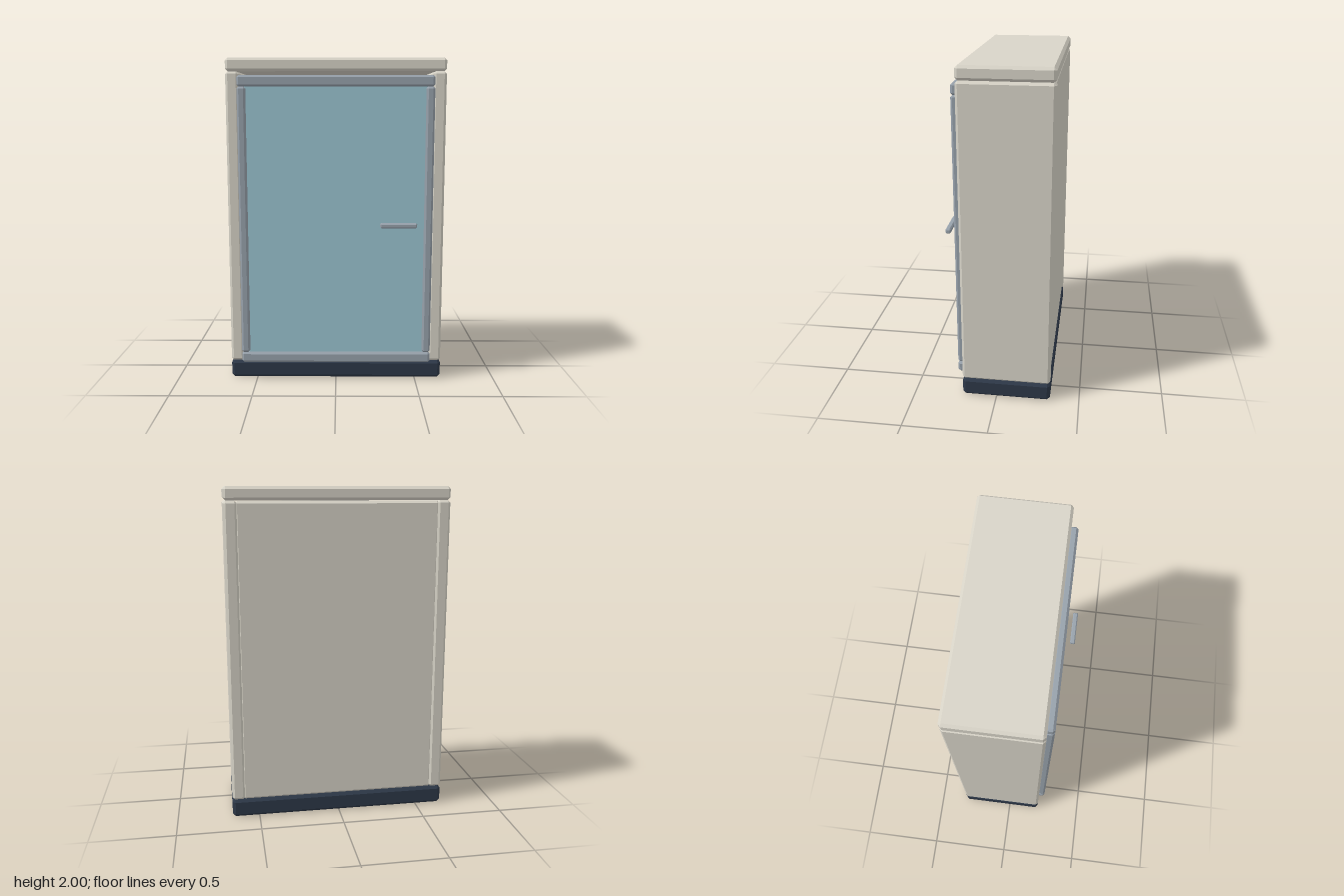
import * as THREE from 'three';
import { ConvexGeometry } from 'three/addons/geometries/ConvexGeometry.js';

const material = (color) => new THREE.MeshStandardMaterial({ color });

// Box with flat chamfered edges, given by its min and max on each axis
function chamferBox(name, [x0, x1], [y0, y1], [z0, z1], c, mat) {
  const half = [(x1 - x0) / 2, (y1 - y0) / 2, (z1 - z0) / 2];
  const points = [];
  for (let axis = 0; axis < 3; axis++) {
    for (const sx of [-1, 1]) for (const sy of [-1, 1]) for (const sz of [-1, 1]) {
      const p = [sx, sy, sz].map((s, i) => s * (half[i] - (i === axis ? 0 : c)));
      points.push(new THREE.Vector3(...p));
    }
  }
  const mesh = new THREE.Mesh(new ConvexGeometry(points), mat);
  mesh.name = name;
  mesh.position.set((x0 + x1) / 2, (y0 + y1) / 2, (z0 + z1) / 2);
  return mesh;
}

export function createModel() {
  const group = new THREE.Group();
  group.name = 'cabinet';
  const shell = material(0xd8d4c8);
  const metal = material(0x98a2ac);
  const dark = material(0x2d3848);
  const pane = material(0x9cc6d2);
  const depth = [-0.325, 0.207];

  // Carcass: plinth, lid, back and two sides
  group.add(
    chamferBox('plinth', [-0.665, 0.665], [0, 0.113], depth, 0.018, dark),
    chamferBox('lid', [-0.665, 0.665], [1.92, 2], depth, 0.016, shell),
    chamferBox('backPanel', [-0.6, 0.6], [0.11, 1.918], [-0.317, -0.26], 0.015, shell),
  );
  for (const [side, s] of [['left', 1], ['right', -1]]) {
    const span = (a, b) => (s > 0 ? [a, b] : [-b, -a]);
    group.add(chamferBox(side + 'Side', span(0.585, 0.665), [0.113, 1.92], depth, 0.015, shell));
  }

  // Door: rails, stiles, pane and handle
  const door = new THREE.Group();
  door.name = 'door';
  const doorDepth = [0.197, 0.247];
  for (const [name, y] of [['bottomRail', 0.113], ['topRail', 1.828]]) {
    door.add(chamferBox(name, [-0.592, 0.592], [y, y + 0.068], doorDepth, 0.013, metal));
  }
  for (const [name, x] of [['rightStile', -0.592], ['leftStile', 0.54]]) {
    door.add(chamferBox(name, [x, x + 0.052], [0.18, 1.83], doorDepth, 0.012, metal));
  }
  door.add(
    chamferBox('pane', [-0.547, 0.547], [0.175, 1.835], [0.21, 0.23], 0.002, pane),
    chamferBox('handle', [0.268, 0.49], [0.987, 1.017], [0.29, 0.322], 0.007, metal),
  );
  group.add(door);
  return group;
}
